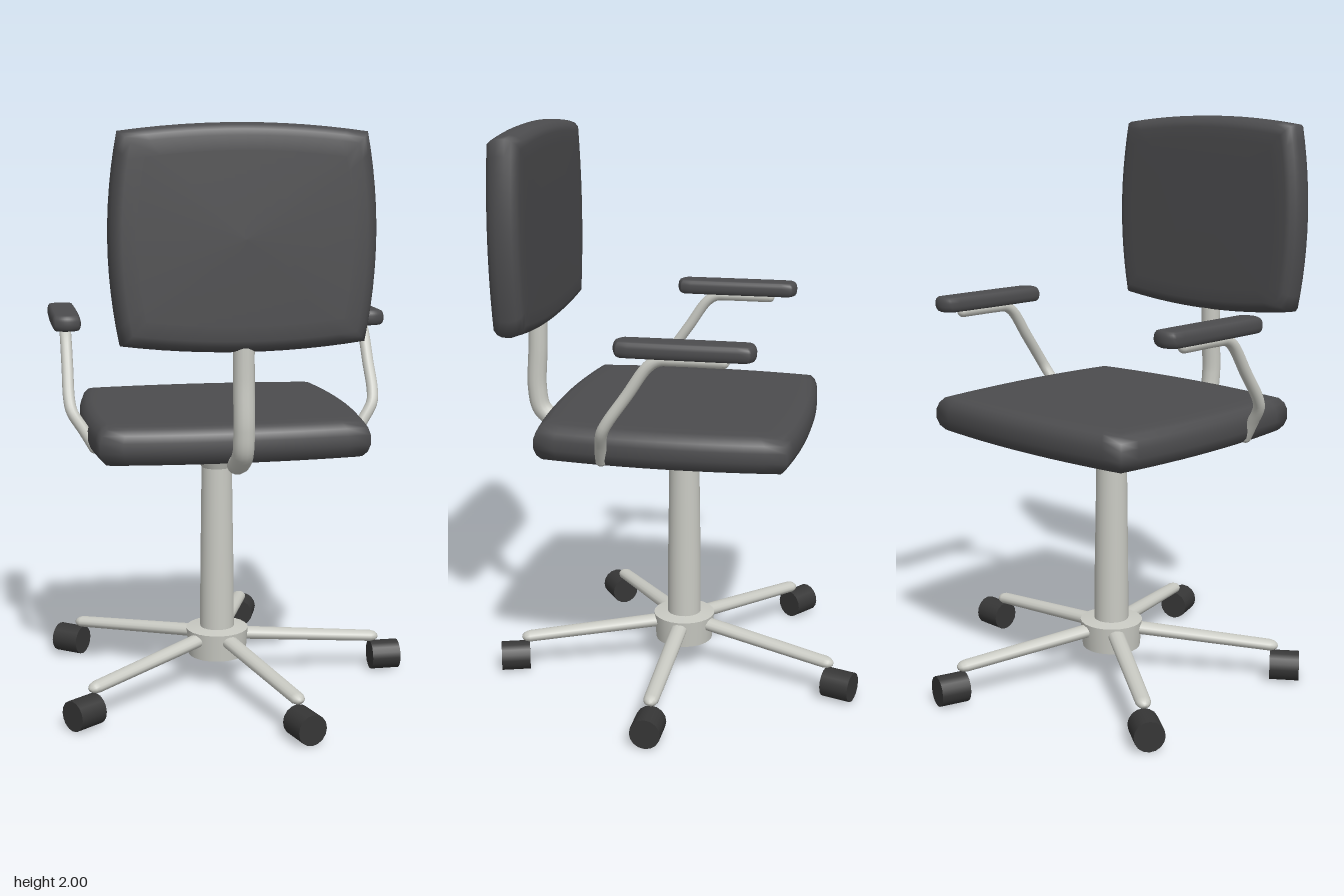
import * as THREE from 'three';

const CX = -0.05; // the column axis sits slightly off the model centre
const mat = (color) => new THREE.MeshStandardMaterial({ color, side: THREE.DoubleSide });
const fabric = mat(0x4c4c4e);
const metal = mat(0xc9cac3);
const rubber = mat(0x363636);

function add(parent, name, geometry, material, x = 0, y = 0, z = 0) {
  const mesh = new THREE.Mesh(geometry, material);
  mesh.name = name;
  mesh.position.set(x, y, z);
  parent.add(mesh);
  return mesh;
}

// Pillow with bowed sides, lying flat: w, d are half sizes at mid-side,
// cw, cd half sizes at the corners, t half thickness, e edge roundness
function cushionGeometry(w, d, cw, cd, t, e = 1) {
  const n = 12;
  const outline = [];
  for (let side = 0; side < 4; side++) {
    for (let i = 0; i < n; i++) {
      const u = -1 + (2 * i) / n;
      const bow = 1 - u * u;
      const px = cw + (w - cw) * bow;
      const pz = cd + (d - cd) * bow;
      outline.push([[px, cd * u], [-cw * u, pz], [-px, -cd * u], [cw * u, -pz]][side]);
    }
  }
  // [inset, height] from the rim up, mirrored for the underside
  const rim = [[0, 0.25], [0.12, 0.6], [0.35, 0.86], [0.65, 0.95], [1.4, 0.985]];
  const under = rim.map(([i, h]) => [i, -h]).reverse();
  const rings = [...under, ...rim];
  const pos = [0, -t, 0];
  const index = [];
  const count = outline.length;
  for (const [inset, h] of rings) {
    const sx = 1 - (inset * t * e) / w;
    const sz = 1 - (inset * t * e) / d;
    for (const [x, z] of outline) pos.push(x * sx, h * t, z * sz);
  }
  pos.push(0, t, 0);
  const top = 1 + rings.length * count;
  const at = (r, i) => 1 + r * count + (i % count);
  for (let i = 0; i < count; i++) {
    index.push(0, at(0, i), at(0, i + 1));
    for (let r = 0; r < rings.length - 1; r++) {
      index.push(at(r, i), at(r + 1, i), at(r + 1, i + 1));
      index.push(at(r, i), at(r + 1, i + 1), at(r, i + 1));
    }
    index.push(top, at(rings.length - 1, i + 1), at(rings.length - 1, i));
  }
  const g = new THREE.BufferGeometry();
  g.setAttribute('position', new THREE.Float32BufferAttribute(pos, 3));
  g.setIndex(index);
  g.computeVertexNormals();
  return g;
}

// Bent tube with round ends
function pipe(parent, name, points, r) {
  const path = points.map((p) => new THREE.Vector3(...p));
  const group = new THREE.Group();
  group.name = name;
  parent.add(group);
  const curve = new THREE.CatmullRomCurve3(path);
  add(group, name + 'Tube', new THREE.TubeGeometry(curve, 48, r, 14), metal);
  for (const p of [path[0], path[path.length - 1]]) {
    add(group, name + 'End', new THREE.SphereGeometry(r, 14, 10), metal, p.x, p.y, p.z);
  }
}

function lathe(points, segments) {
  return new THREE.LatheGeometry(points.map((p) => new THREE.Vector2(...p)), segments);
}

export function createModel() {
  const chair = new THREE.Group();
  chair.name = 'officeChair';
  chair.position.x = CX;
  const root = new THREE.Group();
  root.name = 'model';
  root.add(chair);

  // Seat and backrest
  add(chair, 'seat', cushionGeometry(0.48, 0.462, 0.45, 0.43, 0.068), fabric, 0, 0.968, 0);
  const back = add(chair, 'backrest', cushionGeometry(0.423, 0.355, 0.39, 0.328, 0.06), fabric, 0, 1.645, 0.53);
  back.rotation.x = Math.PI / 2;
  pipe(chair, 'backPost', [
    [0, 1.36, 0.54], [0, 1.2, 0.543], [0, 1.04, 0.55],
    [0, 0.965, 0.535], [0, 0.925, 0.49], [0, 0.902, 0.425],
  ], 0.035);

  // Armrests
  for (const s of [1, -1]) {
    const arm = new THREE.Group();
    arm.name = s > 0 ? 'leftArmrest' : 'rightArmrest';
    chair.add(arm);
    add(arm, 'armPad', cushionGeometry(0.05, 0.232, 0.047, 0.214, 0.028, 0.7), fabric, s * 0.53, 1.338, -0.105);
    pipe(arm, 'armSupport', [
      [s * 0.45, 0.925, 0.195], [s * 0.485, 0.985, 0.187], [s * 0.522, 1.045, 0.172],
      [s * 0.53, 1.085, 0.15], [s * 0.53, 1.18, 0.083], [s * 0.53, 1.275, 0.017],
      [s * 0.53, 1.3, -0.02], [s * 0.53, 1.303, -0.07], [s * 0.53, 1.303, -0.23],
    ], 0.02);
  }

  // Column with a flared head
  add(chair, 'column', lathe([
    [0.062, 0.18], [0.061, 0.4], [0.057, 0.65], [0.055, 0.8], [0.055, 0.8],
    [0.073, 0.843], [0.073, 0.843], [0.035, 0.856], [0, 0.86],
  ], 24), metal);

  // Hub, hollow underneath
  add(chair, 'hub', lathe([
    [0, 0.16], [0.05, 0.15], [0.088, 0.1], [0.088, 0.1], [0.105, 0.1], [0.105, 0.1],
    [0.113, 0.198], [0.113, 0.198], [0.055, 0.205],
  ], 24), metal);

  // Five spokes, each with a roller
  for (let i = 0; i < 5; i++) {
    const spoke = new THREE.Group();
    spoke.name = 'spoke' + (i + 1);
    spoke.rotation.y = (i * Math.PI * 2) / 5;
    chair.add(spoke);
    const leg = lathe([
      [0, -0.27], [0.031, -0.27], [0.031, -0.27], [0.027, 0.25],
      [0.022, 0.266], [0.012, 0.277], [0, 0.28],
    ], 14);
    leg.rotateZ(-Math.PI / 2);
    leg.scale(1, 0.75, 1);
    add(spoke, 'leg', leg, metal, 0.33, 0.149, 0).rotation.z = -0.085;
    const roller = new THREE.CylinderGeometry(0.053, 0.053, 0.105, 16);
    roller.rotateZ(Math.PI / 2);
    add(spoke, 'roller', roller, rubber, 0.633, 0.053, 0);
  }
  return root;
}
